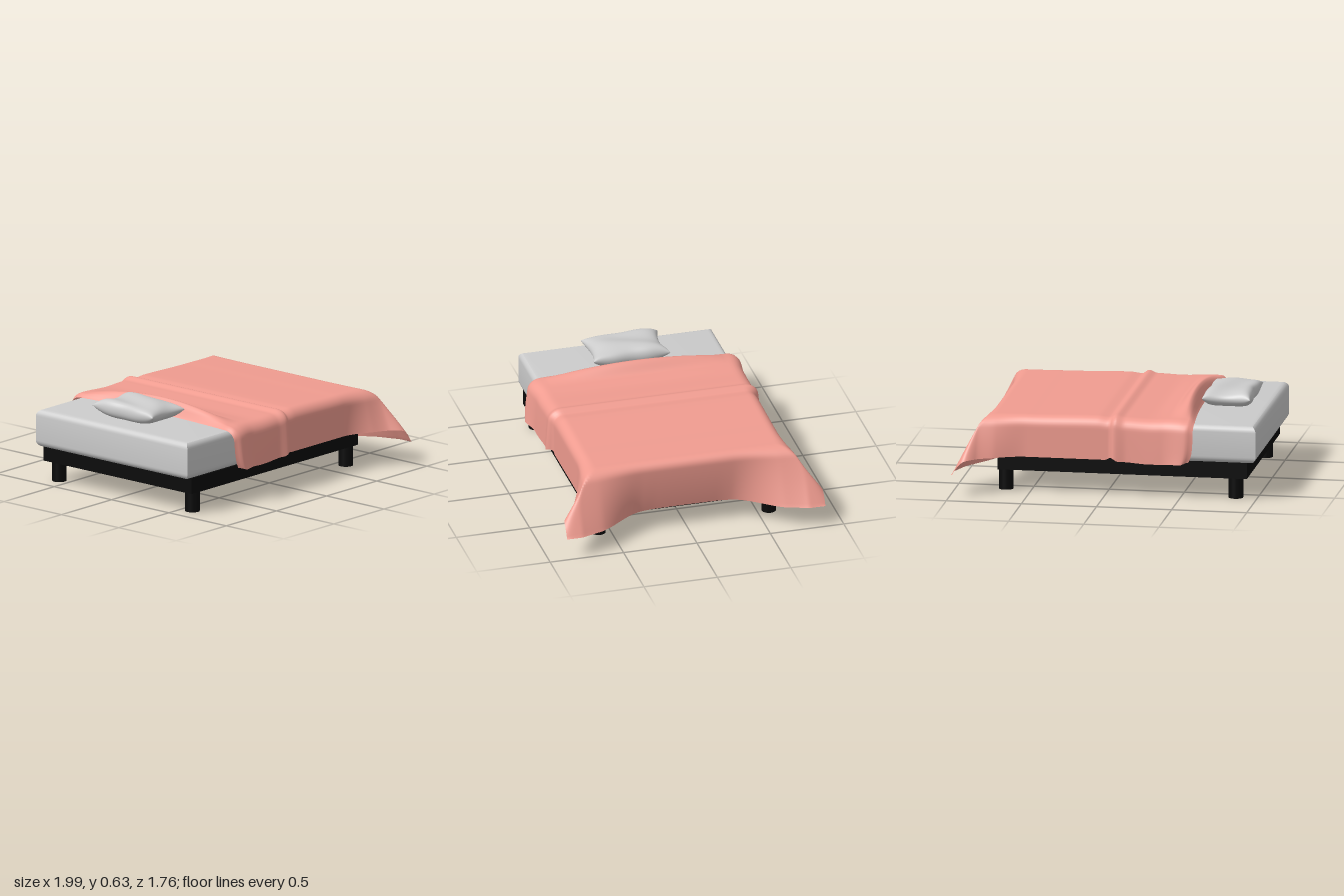
import * as THREE from 'three';
import { mergeVertices, toCreasedNormals } from 'three/addons/utils/BufferGeometryUtils.js';

const clamp01 = v => Math.min(1, Math.max(0, v));
const smooth = (a, b, v) => THREE.MathUtils.smoothstep(v, a, b);

// Smooth interpolation through [position, value] keys
function keyed(keys, x) {
  if (x <= keys[0][0]) return keys[0][1];
  for (let i = 1; i < keys.length; i++) {
    const [x0, v0] = keys[i - 1], [x1, v1] = keys[i];
    if (x <= x1) return v0 + (v1 - v0) * smooth(x0, x1, x);
  }
  return keys[keys.length - 1][1];
}

// Cloth running over a rounded edge of radius r, then hanging: [outward, drop]
function hang(d, r) {
  if (d <= 0) return [0, 0];
  const arc = r * Math.PI / 2;
  if (d < arc) return [r * Math.sin(d / r), r * (1 - Math.cos(d / r))];
  return [r, r + d - arc];
}

// Heights of the blanket top, the side hem, and the outward swell of the sides
const TOP = [[-0.59, 0.5], [-0.56, 0.522], [-0.5, 0.525], [-0.3, 0.517], [-0.13, 0.522],
  [-0.07, 0.54], [-0.03, 0.518], [0.05, 0.526], [0.5, 0.516], [0.73, 0.512]];
const HEM = [[-0.59, 0.255], [-0.52, 0.238], [-0.3, 0.23], [-0.1, 0.24], [-0.05, 0.262], [0, 0.243], [0.7, 0.243]];
const SWELL = [[-0.59, 0.035], [-0.54, 0.06], [-0.38, 0.03], [-0.15, 0.025], [-0.065, 0.042], [-0.03, 0], [0.5, 0]];
const CROWN = [[-0.59, 0], [-0.53, 0.073], [-0.41, 0.008], [-0.3, 0]];

function blanketPoint(s, t, S, T) {
  const s0 = 0.73, t0 = 0.62, rs = 0.06, rt = 0.07;
  const side = Math.sign(t), at = Math.abs(t);
  const p = clamp01((s - s0) / (S - s0)), q = clamp01((at - t0) / (T - t0));
  const [ox, dx] = hang(s - s0, rs);
  const [oz, dz] = hang(at - t0, rt);
  const top = keyed(TOP, s);
  const sideDrop = dz / hang(T - t0, rt)[1] * (top - keyed(HEM, s));
  const across = Math.max(0, 1 - (t / t0) ** 2);

  // Foot corners flare outwards, the middle of the foot drape tucks in
  let x = Math.min(s, s0) + ox + 0.2 * p * smooth(0.3, 0.78, at) - 0.05 * p * p * (1 - smooth(0.2, 0.6, at));
  let z = Math.min(at, t0) + oz + 0.19 * q * smooth(0.52, 1.0, s);
  z += keyed(SWELL, s) * Math.sqrt(q);
  // Head edge bows towards the foot in the middle and at the hem
  const head = 1 - smooth(-0.59, -0.35, s);
  x += head * (0.035 * across + 0.025 * q ** 6);
  let y = top + keyed(CROWN, s) * across - (dx ** 6 + sideDrop ** 6) ** (1 / 6);
  y += 0.012 * p * across;
  return [x, Math.max(0.145, y), side * z];
}

function blanketGeometry() {
  const S = 1.134, T = 0.94, n = 130, m = 120;
  const pos = [], index = [];
  for (let i = 0; i <= n; i++) {
    for (let j = 0; j <= m; j++) {
      pos.push(...blanketPoint(-0.59 + (S + 0.59) * i / n, -T + 2 * T * j / m, S, T));
      if (i < n && j < m) {
        const a = i * (m + 1) + j, c = a + m + 1;
        index.push(a, a + 1, c, a + 1, c + 1, c);
      }
    }
  }
  const g = new THREE.BufferGeometry();
  g.setAttribute('position', new THREE.Float32BufferAttribute(pos, 3));
  g.setIndex(index);
  g.computeVertexNormals();
  return g;
}

// Box with rounded top and bottom rims but square upright corners
function mattressGeometry(w, h, d) {
  const bevel = 0.045, x = w / 2 - bevel, z = d / 2 - bevel;
  const shape = new THREE.Shape([[-x, -z], [x, -z], [x, z], [-x, z]].map(c => new THREE.Vector2(...c)));
  const g = new THREE.ExtrudeGeometry(shape, {
    depth: h - 2 * bevel, bevelSize: bevel, bevelThickness: bevel, bevelSegments: 6,
  });
  g.translate(0, 0, bevel).rotateX(-Math.PI / 2);
  return toCreasedNormals(g, 0.6);
}

// Puffed cushion with drawn-out corners
function pillowGeometry() {
  let g = new THREE.BoxGeometry(2, 2, 2, 28, 1, 36);
  g.deleteAttribute('normal');
  g.deleteAttribute('uv');
  const a = g.attributes.position;
  for (let i = 0; i < a.count; i++) {
    const u = Math.sin(a.getX(i) * Math.PI / 2), v = Math.sin(a.getZ(i) * Math.PI / 2);
    const up = a.getY(i);
    const puff = Math.sqrt(Math.max(0, (1 - u ** 6) * (1 - v ** 4)));
    const x = 0.16 * u * (1 - 0.06 * Math.cos(v * Math.PI) ** 2 * (1 - v * v));
    const z = 0.262 * v * (1 - 0.11 * (1 - u * u));
    const wave = 0.008 * Math.sin(4 * u + 2 * v) * (up > 0 ? 1 : 0);
    a.setXYZ(i, x, up * 0.062 * puff + wave * puff + 0.012 * u * u * v * v, z);
  }
  g = mergeVertices(g, 1e-5);
  g.computeVertexNormals();
  return g;
}

export function createModel() {
  const model = new THREE.Group();
  const grey = new THREE.MeshStandardMaterial({ color: 0xcccccc });
  const black = new THREE.MeshStandardMaterial({ color: 0x0a0a0a });
  const cloth = new THREE.MeshStandardMaterial({ color: 0xf09c90, side: THREE.DoubleSide });

  const add = (name, geometry, material, x, y, z) => {
    const mesh = new THREE.Mesh(geometry, material);
    mesh.name = name;
    mesh.position.set(x, y, z);
    model.add(mesh);
    return mesh;
  };

  // Frame and legs
  add('bedFrame', new THREE.BoxGeometry(1.66, 0.105, 1.29), black, -0.11, 0.1925, 0);
  const leg = new THREE.CylinderGeometry(0.048, 0.048, 0.145, 32);
  for (const x of [-0.857, 0.672]) {
    for (const z of [-0.58, 0.58]) {
      add(`${x < 0 ? 'head' : 'foot'}${z < 0 ? 'Back' : 'Front'}Leg`, leg, black, x, 0.0725, z);
    }
  }

  // Bedding
  add('mattress', mattressGeometry(1.74, 0.255, 1.32), grey, -0.13, 0.243, 0);
  add('pillow', pillowGeometry(), grey, -0.735, 0.565, 0.003);
  add('blanket', blanketGeometry(), cloth, 0, 0, 0);

  return model;
}
